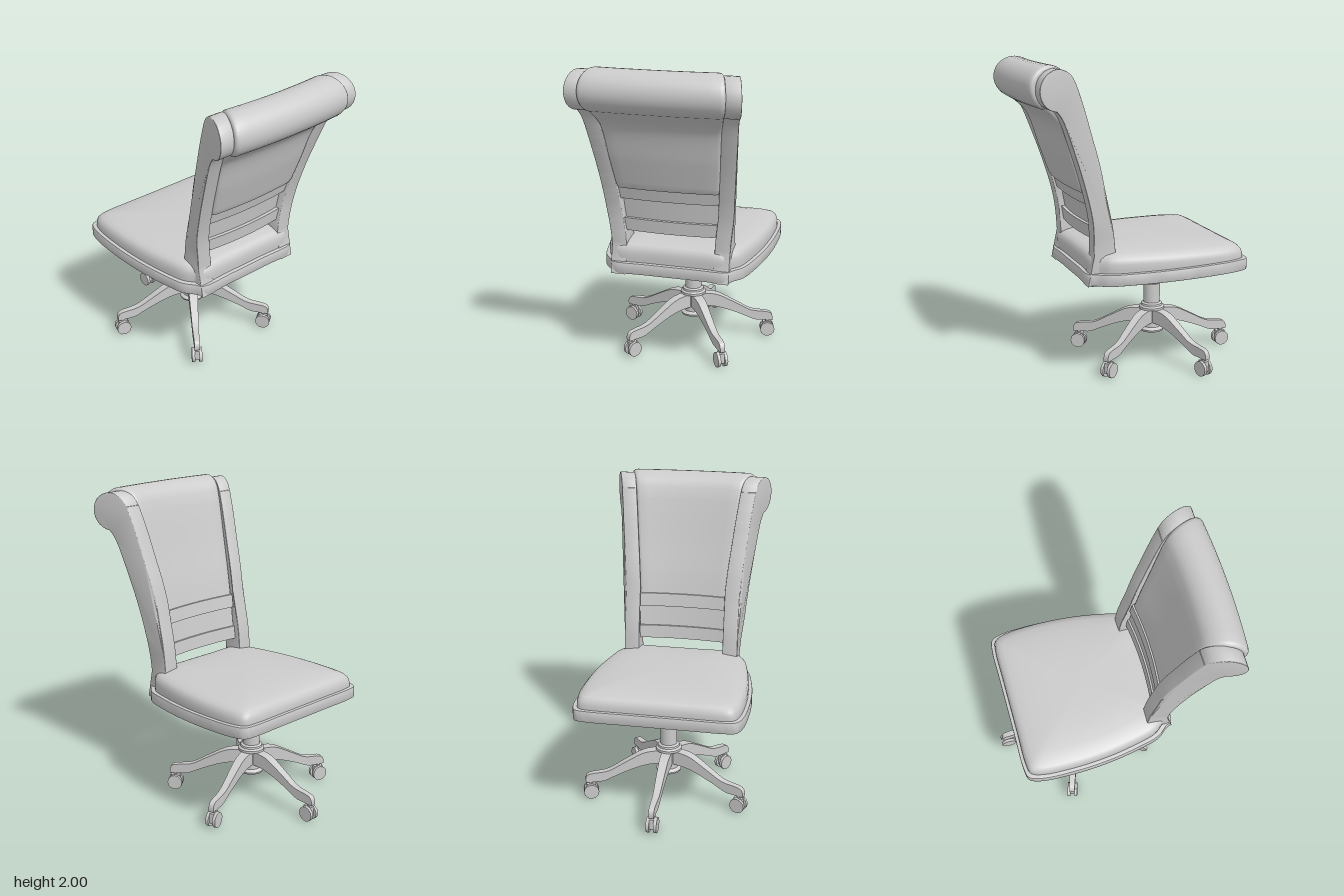
import * as THREE from 'three';
import { toCreasedNormals } from 'three/addons/utils/BufferGeometryUtils.js';

const material = new THREE.MeshStandardMaterial({ color: 0xcccccc });
const V2 = (p) => new THREE.Vector2(p[0], p[1]);

function part(name, geometry, parent, crease = 0.6) {
  const mesh = new THREE.Mesh(crease ? toCreasedNormals(geometry, crease) : geometry, material);
  mesh.name = name;
  parent.add(mesh);
  return mesh;
}

// Move every vertex by a rule
function warp(geometry, rule) {
  const pos = geometry.attributes.position;
  const v = new THREE.Vector3();
  for (let i = 0; i < pos.count; i++) {
    rule(v.fromBufferAttribute(pos, i));
    pos.setXYZ(i, v.x, v.y, v.z);
  }
  geometry.computeVertexNormals();
  return geometry;
}

// Extrude a side profile (drawn with -z as its first axis) across x, centred
function sideExtrude(shape, width, bevel = 0, steps = 1) {
  const geometry = new THREE.ExtrudeGeometry(shape, {
    depth: width - 2 * bevel, steps, curveSegments: 10, bevelEnabled: bevel > 0,
    bevelSize: bevel, bevelThickness: bevel, bevelOffset: -bevel, bevelSegments: 3,
  });
  return geometry.translate(0, 0, -width / 2 + bevel).rotateY(Math.PI / 2);
}

const side = (points) => points.map(([z, y]) => new THREE.Vector2(-z, y));

// Outward splay of the back, growing with rake
const flare = (z, y) => 0.335 * Math.max(0, z - 0.28) * THREE.MathUtils.smoothstep(y, 0.8, 1.1);
const INNER = 0.287;
const fitBetweenPosts = (v) => {
  const u = v.x / INNER;
  v.x = u * (INNER + flare(v.z, v.y));
  v.z += 0.02 * (1 - u * u);
};

// Seat outline, half of it mirrored
const half = [[0.2, -0.655], [0.43, -0.654], [0.5, -0.637], [0.53, -0.565], [0.543, -0.35], [0.53, -0.1],
  [0.495, 0.12], [0.455, 0.27], [0.405, 0.335], [0.375, 0.378], [0.15, 0.383]];
const outline = new THREE.CatmullRomCurve3(
  [...half, ...half.map(([x, z]) => [-x, z]).reverse()].map(([x, z]) => new THREE.Vector3(x, 0, z)),
  true, 'centripetal').getPoints(88).slice(0, 88);
const SEAT_Z = -0.14;
const scaled = (s) => outline.map((p) => new THREE.Vector2(p.x * s, -(SEAT_Z + (p.z - SEAT_Z) * s)));

function seatSlab(outer, hole, y0, y1, bevel) {
  const shape = new THREE.Shape(scaled(outer));
  if (hole) shape.holes.push(new THREE.Path(scaled(hole)));
  const geometry = new THREE.ExtrudeGeometry(shape, {
    depth: y1 - y0 - 2 * bevel, bevelEnabled: bevel > 0, bevelSize: bevel,
    bevelThickness: bevel, bevelOffset: -bevel, bevelSegments: 2,
  });
  geometry.rotateX(-Math.PI / 2).translate(0, y0 + bevel, 0);
  return warp(geometry, (v) => { v.y -= 0.037 * v.z; });
}

// Domed cushion lofted from shrinking rings
function cushionGeometry() {
  const rings = [[0.95, 0.7], [0.957, 0.75], [0.955, 0.782], [0.942, 0.81], [0.91, 0.83], [0.85, 0.844],
    [0.73, 0.857], [0.53, 0.867], [0.3, 0.872], [0, 0.873]];
  const n = outline.length;
  const positions = [];
  const index = [];
  rings.forEach(([s, y], r) => {
    for (const p of scaled(s)) positions.push(p.x, y, -p.y);
    if (r === 0) return;
    for (let i = 0; i < n; i++) {
      const a = (r - 1) * n + i, b = (r - 1) * n + (i + 1) % n;
      index.push(a, a + n, b, b, a + n, b + n);
    }
  });
  const geometry = new THREE.BufferGeometry();
  geometry.setAttribute('position', new THREE.Float32BufferAttribute(positions, 3));
  geometry.setIndex(index);
  geometry.computeVertexNormals();
  return geometry;
}

function buildSeat(parent) {
  const seat = new THREE.Group();
  seat.name = 'seat';
  part('seatFrame', seatSlab(1, 0.95, 0.658, 0.733, 0.006), seat);
  part('seatBase', seatSlab(0.96, 0, 0.678, 0.725, 0), seat);
  part('seatCushion', cushionGeometry(), seat, 0);
  parent.add(seat);
}

function buildBack(parent) {
  const back = new THREE.Group();
  back.name = 'backrest';

  // Raked posts ending in a scroll
  const post = new THREE.Shape();
  post.moveTo(-0.2, 0.64);
  post.lineTo(-0.205, 0.84);
  post.splineThru(side([[0.222, 1.0], [0.26, 1.185], [0.305, 1.39], [0.36, 1.57], [0.42, 1.76], [0.472, 1.9]]));
  post.absarc(-0.59, 1.86, 0.122, Math.PI * 0.11, Math.PI * 1.47, false);
  post.splineThru(side([[0.56, 1.68], [0.51, 1.555], [0.42, 1.29], [0.36, 1.05], [0.345, 0.83]]));
  post.lineTo(-0.386, 0.64);
  for (const s of [1, -1]) {
    const geometry = warp(sideExtrude(post, 0.1, 0.004), (v) => {
      v.x += s * (0.336 + flare(v.z, v.y));
    });
    part(s > 0 ? 'leftPost' : 'rightPost', geometry, back, 0.5);
  }

  // Upholstered pad rolling over at the top
  const pad = new THREE.Shape();
  pad.moveTo(-0.3, 1.22);
  pad.splineThru(side([[0.335, 1.37], [0.39, 1.57], [0.437, 1.75], [0.463, 1.845]]));
  pad.absarc(-0.612, 1.868, 0.132, Math.PI * 0.1, Math.PI * 1.42, false);
  pad.splineThru(side([[0.543, 1.63], [0.474, 1.42], [0.417, 1.25]]));
  pad.lineTo(-0.4, 1.22);
  part('backPad', warp(sideExtrude(pad, 0.58, 0.022, 12), fitBetweenPosts), back, 0.8);

  // Cross rails under the pad
  const rails = {
    upperRail: [[0.275, 1.14], [0.29, 1.225], [0.385, 1.225], [0.362, 1.14]],
    middlePanel: [[0.275, 0.99], [0.3, 1.15], [0.335, 1.15], [0.31, 0.99]],
    lowerRail: [[0.255, 0.92], [0.265, 1.005], [0.335, 1.005], [0.325, 0.92]],
  };
  for (const [name, points] of Object.entries(rails)) {
    part(name, warp(sideExtrude(new THREE.Shape(side(points)), 0.58, 0, 10), fitBetweenPosts), back);
  }
  parent.add(back);
}

function buildCaster(parent) {
  const caster = new THREE.Group();
  caster.name = 'caster';
  caster.position.x = 0.515;
  for (const s of [1, -1]) {
    part('wheel', new THREE.CylinderGeometry(0.05, 0.05, 0.02, 12).rotateX(Math.PI / 2), caster)
      .position.set(0, 0.05, s * 0.024);
  }
  part('casterHousing', new THREE.BoxGeometry(0.06, 0.067, 0.03), caster).position.y = 0.065;
  part('casterStem', new THREE.CylinderGeometry(0.013, 0.013, 0.05, 10), caster).position.y = 0.105;
  parent.add(caster);
}

function buildBase(parent) {
  const base = new THREE.Group();
  base.name = 'swivelBase';
  base.position.z = -0.195;

  // Stepped column and hub
  const profile = [[0, 0.172], [0.078, 0.172], [0.082, 0.185], [0.06, 0.2], [0.06, 0.32], [0.085, 0.325], [0.085, 0.34],
    [0.072, 0.35], [0.07, 0.362], [0.055, 0.37], [0.055, 0.5], [0.044, 0.5], [0.044, 0.7], [0, 0.7]];
  part('column', new THREE.LatheGeometry(profile.map(V2), 28), base);

  // Five sweeping legs, each with a caster
  const shape = new THREE.Shape();
  shape.moveTo(0.03, 0.325);
  shape.splineThru([[0.1, 0.324], [0.18, 0.308], [0.3, 0.245], [0.4, 0.193], [0.5, 0.178], [0.535, 0.168], [0.55, 0.143], [0.55, 0.113]].map(V2));
  shape.lineTo(0.445, 0.118);
  shape.splineThru([[0.41, 0.128], [0.33, 0.165], [0.22, 0.208], [0.13, 0.23], [0.03, 0.235]].map(V2));
  for (let i = 0; i < 5; i++) {
    const leg = new THREE.Group();
    leg.name = 'legWithCaster';
    leg.rotation.y = Math.PI / 2 + i * Math.PI * 0.4;
    const geometry = new THREE.ExtrudeGeometry(shape, { depth: 1, bevelEnabled: false, curveSegments: 4 });
    geometry.translate(0, 0, -0.5);
    part('leg', warp(geometry, (v) => { v.z *= 0.07 - 0.065 * v.x; }), leg);
    buildCaster(leg);
    base.add(leg);
  }
  parent.add(base);
}

export function createModel() {
  const chair = new THREE.Group();
  chair.name = 'deskChair';
  buildSeat(chair);
  buildBack(chair);
  buildBase(chair);
  return chair;
}
